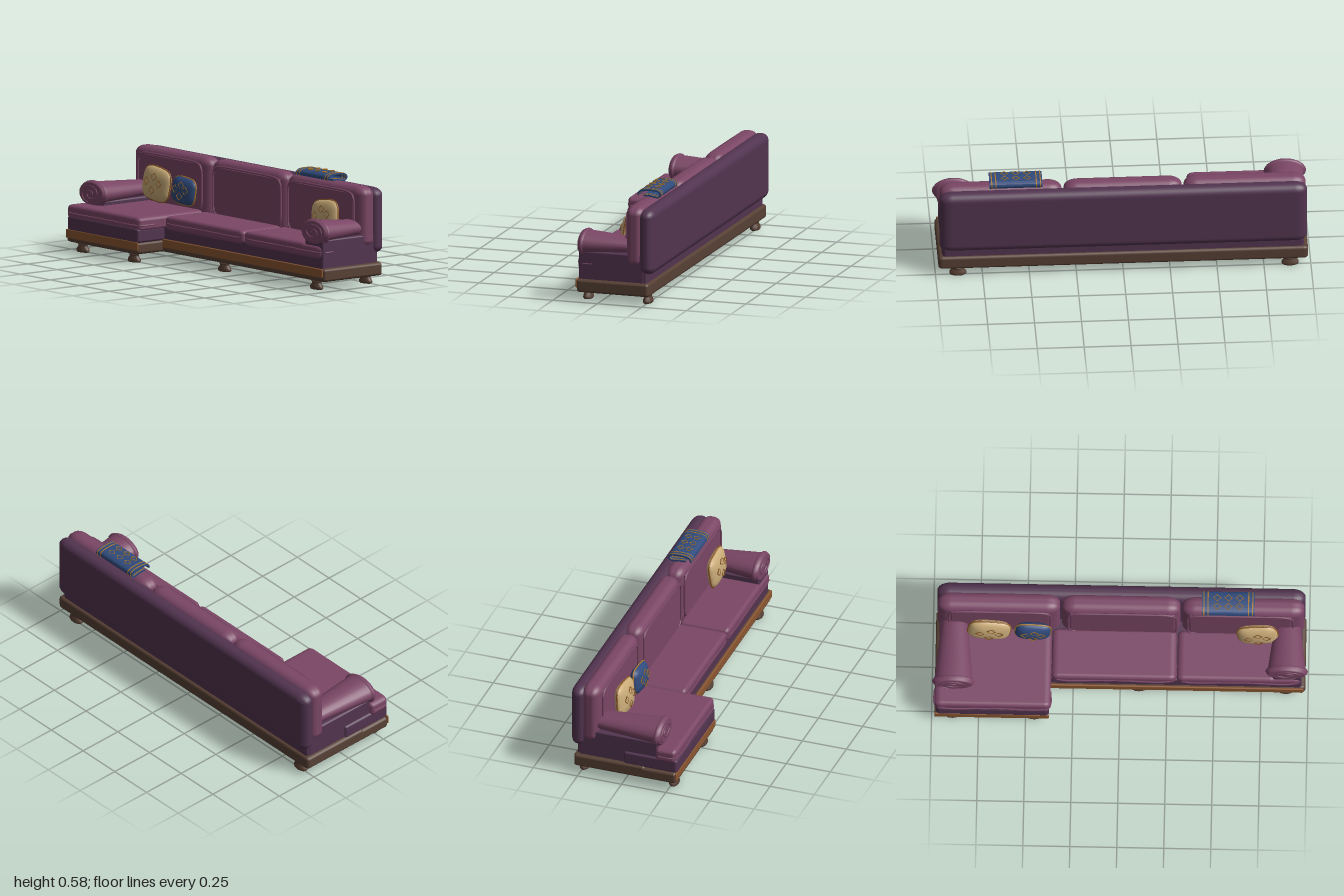
import * as THREE from 'three';
import { RoundedBoxGeometry } from 'three/addons/geometries/RoundedBoxGeometry.js';

const mat = (name, color) => Object.assign(new THREE.MeshStandardMaterial({ color }), { name });

export function createModel() {
  const sofa = new THREE.Group();
  sofa.name = 'sectionalSofa';
  const plum = mat('plum upholstery', 0x7a4665);
  const darkPlum = mat('dark plum upholstery', 0x523450);
  const wood = mat('dark wood', 0x574034);
  const trimWood = mat('light wood trim', 0x8a5630);
  const cream = mat('cream fabric', 0xc9ab78);
  const blue = mat('blue fabric', 0x2f4a7c);
  const gold = mat('gold trim', 0xa9752c);
  const brown = mat('brown stitching', 0x8f5a26);

  const add = (name, geo, material, parent = sofa) => {
    const m = new THREE.Mesh(geo, material);
    m.name = name;
    parent.add(m);
    return m;
  };

  // Soft-cornered box given by its extents; corners are stretched along x
  const soft = (name, [x0, x1], [y0, y1], [z0, z1], r, material, sx = 1.6, seg = 3) => {
    const g = new RoundedBoxGeometry((x1 - x0) / sx, y1 - y0, z1 - z0, seg, r);
    g.scale(sx, 1, 1);
    g.translate((x0 + x1) / 2, (y0 + y1) / 2, (z0 + z1) / 2);
    return add(name, g, material);
  };

  // Closed loop of points around a superellipse
  const ring = (a, b, p, n, place) => Array.from({ length: n }, (_, i) => {
    const t = (i / n) * Math.PI * 2, c = Math.cos(t), s = Math.sin(t);
    return place(a * Math.sign(c) * Math.abs(c) ** p, b * Math.sign(s) * Math.abs(s) ** p);
  });
  const piping = (name, pts, r, material, parent) => add(name,
    new THREE.TubeGeometry(new THREE.CatmullRomCurve3(pts, true), pts.length * 2, r, 6, true), material, parent);

  // Plinth and front trim
  soft('mainPlinth', [-0.985, 0.985], [0.048, 0.122], [-0.28, 0.125], 0.016, wood);
  soft('chaisePlinth', [-0.985, -0.38], [0.048, 0.115], [0, 0.3], 0.016, wood);
  soft('mainTrim', [-0.38, 0.975], [0.073, 0.12], [0.121, 0.133], 0.005, trimWood);
  soft('chaiseTrim', [-0.985, -0.375], [0.07, 0.117], [0.294, 0.305], 0.005, trimWood);

  // Turned feet
  const footProfile = [[0, 0], [0.023, 0], [0.026, 0.006], [0.025, 0.018], [0.019, 0.03], [0.018, 0.038], [0.023, 0.048], [0, 0.052]]
    .map(([r, y]) => new THREE.Vector2(r, y));
  for (const [x, z] of [[-0.89, -0.245], [0.88, -0.245], [0.88, 0.09], [0.1, 0.09], [-0.455, 0.26], [-0.89, 0.26]]) {
    const foot = add('foot', new THREE.LatheGeometry(footProfile, 14), wood);
    foot.scale.x = 1.8;
    foot.position.set(x, 0, z);
  }

  // Upholstered body and arm panels
  soft('seatBody', [-0.96, 0.96], [0.11, 0.19], [-0.265, 0.118], 0.012, darkPlum);
  soft('chaiseBody', [-0.975, -0.375], [0.11, 0.19], [0, 0.304], 0.014, darkPlum);
  soft('leftArmPanel', [0.81, 0.965], [0.11, 0.275], [-0.25, 0.118], 0.01, darkPlum);
  soft('rightArmPanel', [-0.965, -0.81], [0.11, 0.275], [-0.25, 0.19], 0.01, darkPlum);

  // Seat cushions with lips wrapping in front of the arms
  soft('middleSeatCushion', [-0.365, 0.297], [0.168, 0.245], [-0.15, 0.13], 0.022, plum);
  soft('leftSeatCushion', [0.303, 0.83], [0.168, 0.245], [-0.15, 0.13], 0.022, plum);
  soft('leftSeatLip', [0.6, 0.96], [0.168, 0.24], [0.08, 0.129], 0.022, plum);
  soft('chaiseCushion', [-0.86, -0.368], [0.17, 0.25], [-0.15, 0.3], 0.022, plum);
  soft('chaiseCushionLip', [-0.985, -0.368], [0.17, 0.25], [0.18, 0.3], 0.022, plum);
  const frontPiping = (x0, x1, y, z) => {
    const pts = [[x0, z - 0.1], [x0, z - 0.02], [x0 + 0.03, z], [(x0 + x1) / 2, z], [x1 - 0.03, z], [x1, z - 0.02], [x1, z - 0.1]]
      .map(([x, pz]) => new THREE.Vector3(x, y, pz));
    add('seatPiping', new THREE.TubeGeometry(new THREE.CatmullRomCurve3(pts, false, 'centripetal'), 28, 0.005, 6), plum);
  };
  frontPiping(-0.985, -0.368, 0.205, 0.3);
  frontPiping(-0.365, 0.295, 0.205, 0.129);
  frontPiping(0.305, 0.96, 0.205, 0.129);

  // Back panel and three back cushions, each with a piped inset panel
  soft('backPanel', [-0.98, 0.98], [0.165, 0.52], [-0.305, -0.214], 0.042, darkPlum, 1.6, 4);
  for (const [x0, x1, p0, p1] of [[-0.975, -0.325, -0.915, -0.375], [-0.315, 0.315, -0.28, 0.295], [0.325, 0.975, 0.355, 0.915]]) {
    soft('backCushion', [x0, x1], [0.2, 0.532], [-0.248, -0.139], 0.045, plum, 1.6, 4);
    soft('insetPanel', [p0 + 0.01, p1 - 0.01], [0.235, 0.495], [-0.145, -0.135], 0.004, plum);
    const cx = (p0 + p1) / 2;
    piping('insetPiping', ring((p1 - p0) / 2, 0.135, 0.25, 40,
      (x, y) => new THREE.Vector3(cx + x, 0.367 + y, -0.136)), 0.006, plum);
  }

  // Rolled arms tapering to the back, with a flange and a scroll on the front
  const makeArm = (name, side, front) => {
    const arm = new THREE.Group();
    arm.name = name;
    const pts = [[0, -0.215], [0.03, -0.213], [0.04, -0.2], [0.063, front - 0.034], [0.069, front - 0.03], [0.071, front - 0.022],
      [0.068, front - 0.012], [0.064, front - 0.01], [0.064, front - 0.004], [0.058, front], [0, front]]
      .map(([r, y]) => new THREE.Vector2(r, y));
    const g = new THREE.LatheGeometry(pts, 24);
    g.rotateX(Math.PI / 2);
    g.scale(1.6, 1, 1);
    add('armRoll', g, plum, arm);
    const scroll = Array.from({ length: 26 }, (_, i) => {
      const t = (i / 25) * Math.PI * 3.4, r = 0.008 + 0.044 * (i / 25);
      return new THREE.Vector3(-side * 1.6 * r * Math.cos(t), r * Math.sin(t), front);
    });
    add('armScroll', new THREE.TubeGeometry(new THREE.CatmullRomCurve3(scroll), 60, 0.004, 6), plum, arm);
    arm.position.set(side * 0.886, 0.308, 0);
    sofa.add(arm);
  };
  makeArm('leftArm', 1, 0.12);
  makeArm('rightArm', -1, 0.21);

  // Four-sided ring used as a stitched diamond
  const diamond = (parent, x, y, z, r, material) => {
    const d = add('diamond', new THREE.TorusGeometry(r, 0.0028, 4, 4), material, parent);
    d.scale.x = 1.1;
    d.position.set(x, y, z);
    return d;
  };

  // Scatter pillows: a sphere squared off in outline, with piping and diamonds
  const makePillow = (name, x, y, w, h, tilt, fabric, edge) => {
    const p = new THREE.Group(), a = w / 2, b = h / 2, t = 0.036, e = 0.55;
    p.name = name;
    const g = new THREE.SphereGeometry(1, 32, 16);
    g.rotateX(Math.PI / 2);
    const pos = g.attributes.position;
    for (let i = 0; i < pos.count; i++) {
      const px = pos.getX(i), py = pos.getY(i), rho = Math.hypot(px, py) || 1;
      const c = px / rho, s = py / rho;
      pos.setXYZ(i, a * rho * Math.sign(c) * Math.abs(c) ** e, b * rho * Math.sign(s) * Math.abs(s) ** e, t * pos.getZ(i));
    }
    g.computeVertexNormals();
    add('pillowBody', g, fabric, p);
    piping('pillowPiping', ring(a, b, e, 32, (u, v) => new THREE.Vector3(u, v, 0)), 0.0045, edge, p);
    for (const [u, v] of [[-0.45, 0.05], [0.05, 0.42], [0.45, 0.1], [0.02, -0.4]])
      diamond(p, u * a, v * b, t * Math.sqrt(1 - u * u - v * v) + 0.001, 0.021, edge);
    p.position.set(x, y, -0.092);
    p.rotation.set(-0.1, 0, tilt);
    sofa.add(p);
  };
  makePillow('rightCreamPillow', -0.7, 0.355, 0.225, 0.18, -0.12, cream, brown);
  makePillow('bluePillow', -0.468, 0.345, 0.19, 0.145, -0.08, blue, gold);
  makePillow('leftCreamPillow', 0.728, 0.355, 0.215, 0.175, 0.12, cream, brown);

  // Folded throw: a curved profile swept along x, with gold bands
  const fold = new THREE.CatmullRomCurve3([[0.16, 0.54], [0.2, 0.538], [0.24, 0.533], [0.253, 0.545], [0.248, 0.562], [0.2, 0.57], [0.15, 0.566], [0.135, 0.557], [0.13, 0.54]]
    .map(([s, y]) => new THREE.Vector3(s, y, 0)));
  const sweep = (name, x0, x1, half, material) => {
    const outer = [], inner = [];
    for (let i = 0; i <= 28; i++) {
      const q = fold.getPoint(i / 28), d = fold.getTangent(i / 28);
      outer.push(new THREE.Vector2(q.x + d.y * half, q.y - d.x * half));
      inner.unshift(new THREE.Vector2(q.x - d.y * half, q.y + d.x * half));
    }
    const g = new THREE.ExtrudeGeometry(new THREE.Shape([...outer, ...inner]), { depth: x1 - x0, bevelEnabled: false });
    g.rotateY(Math.PI / 2);
    g.translate(x0, 0, 0);
    add(name, g, material);
  };
  sweep('throwBlanket', 0.43, 0.71, 0.004, blue);
  for (const x of [0.437, 0.459, 0.675, 0.697]) sweep('throwBand', x, x + 0.006, 0.0052, gold);
  for (const x of [0.51, 0.57, 0.63])
    for (const z of [-0.215, -0.167]) diamond(sofa, x, 0.5745, z, 0.018, gold).rotation.x = -Math.PI / 2;

  return sofa;
}
